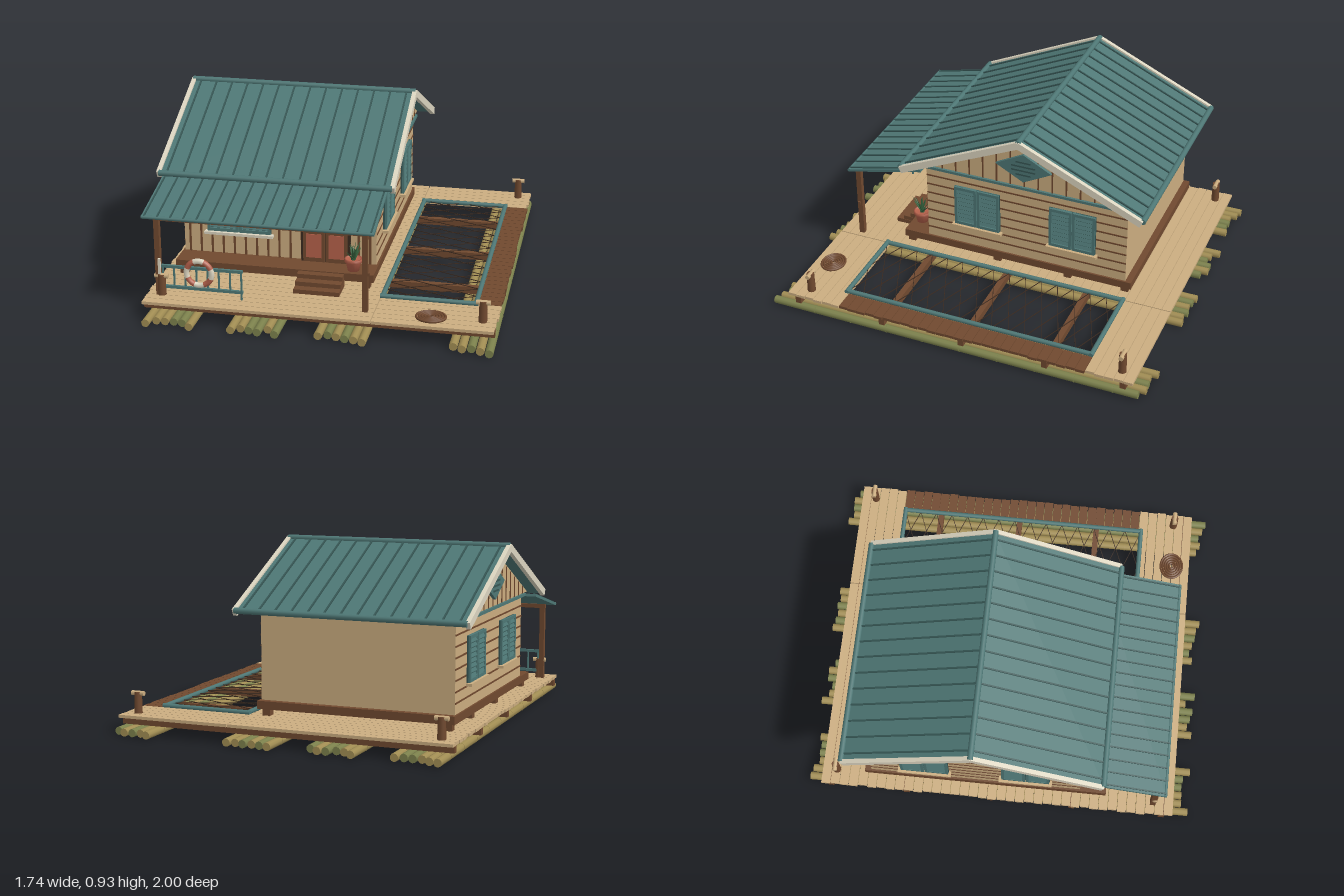
import * as THREE from 'three';

const mat = (name, color) => {
  const m = new THREE.MeshStandardMaterial({ color });
  m.name = name;
  return m;
};

export function createModel() {
  const tan = mat('tan wood', 0xcbad80), teal = mat('teal paint', 0x4e7775), darkTeal = mat('dark teal', 0x365654),
    brown = mat('brown wood', 0x70492f), dark = mat('dark brown', 0x3a291e), cream = mat('cream', 0xdcd5c0),
    terracotta = mat('terracotta', 0xb4604a), bamboo = mat('bamboo', 0xa18d53), greenBamboo = mat('green bamboo', 0x7c814c),
    leaf = mat('leaf green', 0x35603c);
  const model = new THREE.Group();

  const add = (parent, name, geo, m, x = 0, y = 0, z = 0) => {
    const mesh = new THREE.Mesh(geo, m);
    mesh.name = name;
    mesh.position.set(x, y, z);
    parent.add(mesh);
    return mesh;
  };
  const group = (name, parent = model) => {
    const g = new THREE.Group();
    g.name = name;
    parent.add(g);
    return g;
  };
  // box given by its lower and upper limits on each axis
  const span = (p, name, m, x0, x1, y0, y1, z0, z1) =>
    add(p, name, new THREE.BoxGeometry(x1 - x0, y1 - y0, z1 - z0), m, (x0 + x1) / 2, (y0 + y1) / 2, (z0 + z1) / 2);
  // sloping board whose upper face runs from (z0, y0) to (z1, y1), with z1 > z0
  const slope = (p, name, m, x, w, t, z0, y0, z1, y1, lift = 0) => {
    const a = Math.atan2(y0 - y1, z1 - z0), o = lift - t / 2;
    const b = add(p, name, new THREE.BoxGeometry(w, t, Math.hypot(z1 - z0, y1 - y0)), m,
      x, (y0 + y1) / 2 + Math.cos(a) * o, (z0 + z1) / 2 + Math.sin(a) * o);
    b.rotation.x = a;
    return b;
  };
  const rod = (p, name, m, r, x0, x1, y, z) => {
    const c = add(p, name, new THREE.CylinderGeometry(r, r, x1 - x0, 10), m, (x0 + x1) / 2, y, z);
    c.rotation.z = Math.PI / 2;
    return c;
  };
  const rodZ = (p, name, m, r, z0, z1, x, y) => {
    const c = add(p, name, new THREE.CylinderGeometry(r, r, z1 - z0, 10), m, x, y, (z0 + z1) / 2);
    c.rotation.x = Math.PI / 2;
    return c;
  };
  let seed = 7;
  const rand = () => (seed = (seed * 16807) % 2147483647) / 2147483647;

  // bamboo floats with raised joints
  const floats = group('floats');
  [[-0.8, 6], [-0.38, 6], [0.04, 6], [0.68, 5]].forEach(([x, n]) => {
    for (let i = 0; i < n; i++) {
      const z0 = -1 + (i ? rand() * 0.05 : 0), z1 = 1 - (i === n - 1 ? 0 : rand() * 0.05);
      const m = rand() < 0.35 ? greenBamboo : bamboo, lx = x + i * 0.0432;
      rodZ(floats, 'bambooLog', m, 0.0202, z0, z1, lx, 0.021);
      for (let z = -0.88 + rand() * 0.06; z < 0.93; z += 0.2) rodZ(floats, 'bambooJoint', m, 0.0212, z - 0.004, z + 0.004, lx, 0.021);
    }
  });

  // joists and deck planks around the net pool
  const deck = group('deck');
  for (const z of [-0.88, -0.48, -0.04, 0.39, 0.86]) span(deck, 'joist', brown, -0.845, 0.865, 0.045, 0.081, z - 0.015, z + 0.015);
  const pitch = 1.85 / 38;
  for (let i = 0; i < 38; i++) {
    const z0 = -0.93 + i * pitch, z1 = z0 + pitch - 0.003, mid = (z0 + z1) / 2, j = rand() * 0.008;
    span(deck, 'plank', tan, -0.85 + j, 0.279, 0.08, 0.095, z0, z1);
    if (mid < -0.7 || mid > 0.65) span(deck, 'plank', tan, 0.284, 0.87 - j, 0.08, 0.095, z0, z1);
    else span(deck, 'walkwayPlank', brown, 0.757, 0.872 - j, 0.08, 0.095, z0, z1);
  }

  // net pool frame and crossing net cords
  const pool = group('netPool');
  const px0 = 0.29, px1 = 0.746, pz0 = -0.68, pz1 = 0.638;
  for (const z of [pz0, pz1]) rod(pool, 'frameEnd', teal, 0.012, px0 - 0.012, px1 + 0.012, 0.102, z);
  for (const x of [px0, px1]) rodZ(pool, 'frameSide', teal, 0.012, pz0, pz1, x, 0.102);
  const rise = 0.18, wide = px1 - px0;
  for (let z = pz0 - rise; z < pz1; z += 0.088) for (const s of [1, -1]) {
    const t0 = Math.max(0, (pz0 - z) / rise), t1 = Math.min(1, (pz1 - z) / rise);
    if (t1 - t0 < 0.05) continue;
    const t = (t0 + t1) / 2;
    const cord = add(pool, 'netCord', new THREE.BoxGeometry((t1 - t0) * Math.hypot(wide, rise), 0.003, 0.003), dark,
      (px0 + px1) / 2 + s * (t - 0.5) * wide, 0.1, z + t * rise);
    cord.rotation.y = -s * Math.atan2(rise, wide);
  }

  // house body on its raised base
  const cx = -0.275, half = 0.495, zf = 0.425, zb = -0.667, zm = -0.12;
  const house = group('house');
  span(house, 'base', brown, cx - 0.505, cx + 0.505, 0.13, 0.17, -0.7, 0.56);
  for (const x of [-0.74, 0.19]) for (const z of [0.53, 0.04, -0.35, -0.66])
    span(house, 'stub', brown, x - 0.02, x + 0.02, 0.094, 0.131, z - 0.02, z + 0.02);
  span(house, 'walls', tan, cx - half, cx + half, 0.17, 0.61, zb, zf);
  for (let x = cx - half + 0.03; x < cx + half; x += 0.058) span(house, 'frontBatten', brown, x - 0.005, x + 0.005, 0.17, 0.6, zf, zf + 0.006);

  // louvred double shutters with a sill, facing +z
  const shutters = (w, h, sillMat) => {
    const g = group('shutterWindow', house);
    span(g, 'backing', darkTeal, -w / 2, w / 2, -h / 2, h / 2, 0, 0.008);
    span(g, 'sill', sillMat, -w / 2 - 0.012, w / 2 + 0.012, -h / 2 - 0.016, -h / 2 - 0.002, 0, 0.03);
    for (const s of [-1, 1]) {
      const c = s * w / 4, lw = w / 2 - 0.004, e = lw / 2;
      for (const k of [-1, 1]) {
        add(g, 'stile', new THREE.BoxGeometry(0.014, h, 0.018), teal, c + k * (e - 0.007), 0, 0.009);
        add(g, 'rail', new THREE.BoxGeometry(lw, 0.016, 0.018), teal, c, k * (h / 2 - 0.008), 0.009);
      }
      for (let i = 0; i < 8; i++) {
        const y = -h / 2 + 0.016 + (i + 0.5) * (h - 0.032) / 8;
        add(g, 'louvre', new THREE.BoxGeometry(lw - 0.02, 0.018, 0.006), teal, c, y, 0.011).rotation.x = -0.4;
      }
    }
    return g;
  };
  shutters(0.33, 0.23, cream).position.set(-0.48, 0.41, zf + 0.006);

  // double front door
  const door = group('door', house);
  span(door, 'frame', dark, -0.16, 0.09, 0.17, 0.565, zf, zf + 0.02);
  for (const s of [-1, 1]) {
    const x = -0.036 + s * 0.057;
    span(door, 'doorLeaf', brown, x - 0.055, x + 0.055, 0.172, 0.555, zf, zf + 0.028);
    for (const [y0, y1] of [[0.195, 0.32], [0.365, 0.52]])
      span(door, 'doorPanel', terracotta, x - 0.039, x + 0.039, y0, y1, zf + 0.024, zf + 0.032);
    add(door, 'knob', new THREE.SphereGeometry(0.006, 8, 6), dark, -0.036 + s * 0.012, 0.345, zf + 0.032);
  }
  // solid entrance steps
  [[0.165, 0.6], [0.141, 0.64], [0.117, 0.68]].forEach(([top, z]) => span(house, 'step', brown, -0.147, 0.082, top - 0.022, top, 0.545, z));
  span(house, 'stepBody', brown, -0.14, 0.075, 0.094, 0.15, 0.545, 0.59);

  // matching gable sides: siding, windows, gable, vent
  for (const s of [-1, 1]) {
    const side = group(s > 0 ? 'leftSide' : 'rightSide', house), wx = cx + s * half;
    for (let i = 1; i < 8; i++) add(side, 'sidingLine', new THREE.BoxGeometry(0.004, 0.008, zf - zb), brown, wx + s * 0.001, 0.17 + i * 0.0535, (zf + zb) / 2);
    for (const z of [0.14, -0.38]) {
      const w = shutters(0.25, 0.225, tan);
      w.position.set(wx + s * 0.003, 0.408, z);
      w.rotation.y = s * Math.PI / 2;
    }
    const tri = new THREE.Shape([new THREE.Vector2(-0.63, 0.61), new THREE.Vector2(0.63, 0.61), new THREE.Vector2(0, 0.892)]);
    const gable = add(side, 'gable', new THREE.ExtrudeGeometry(tri, { depth: 0.02, bevelEnabled: false }), tan, wx - 0.01, 0, zm);
    gable.rotation.y = Math.PI / 2;
    for (let i = -7; i <= 7; i++) {
      const top = 0.885 - Math.abs(i) * 0.075 * 0.448;
      add(side, 'gableBatten', new THREE.BoxGeometry(0.005, top - 0.61, 0.008), brown, wx + s * 0.011, (top + 0.61) / 2, zm + i * 0.075);
    }
    add(side, 'trimBand', new THREE.BoxGeometry(0.03, 0.014, zf - zb + 0.02), teal, wx + s * 0.008, 0.603, (zf + zb) / 2);
    const kite = new THREE.Shape([new THREE.Vector2(-0.15, 0), new THREE.Vector2(0, -0.08), new THREE.Vector2(0.15, 0), new THREE.Vector2(0, 0.08)]);
    const vent = add(side, 'vent', new THREE.ExtrudeGeometry(kite, { depth: 0.016, bevelEnabled: false }), teal, wx + s * 0.01, 0.725, zm);
    vent.rotation.y = s * Math.PI / 2;
    [0.08, 0.13, 0.13, 0.08].forEach((w, i) =>
      add(side, 'ventSlot', new THREE.BoxGeometry(0.006, 0.009, w), darkTeal, wx + s * 0.026, 0.725 + (i - 1.5) * 0.024, zm));
  }

  // main roof with seams, edge rolls and verge boards
  const roof = group('roof'), rx = -0.2735;
  const slopes = [[zm, 0.913, 0.53, 0.615], [-0.77, 0.615, zm, 0.913]];
  for (const sl of slopes) {
    slope(roof, 'roofSheet', teal, rx, 1.16, 0.016, ...sl);
    for (let i = 0; i < 14; i++) slope(roof, 'roofSeam', darkTeal, rx - 0.546 + i * 0.084, 0.008, 0.008, ...sl, 0.007);
    for (const s of [-1, 1]) slope(roof, 'vergeBoard', cream, rx + s * 0.587, 0.022, 0.036, ...sl, 0.009);
  }
  rod(roof, 'ridgeRoll', teal, 0.015, rx - 0.592, rx + 0.592, 0.913, zm);
  for (const z of [0.53, -0.77]) rod(roof, 'eaveRoll', teal, 0.015, rx - 0.585, rx + 0.585, 0.617, z);

  // porch roof, posts and beam
  const porch = group('porch');
  const ps = [0.43, 0.608, 0.845, 0.51];
  slope(porch, 'porchRoof', teal, -0.2825, 1.135, 0.014, ...ps);
  for (let i = 0; i < 18; i++) slope(porch, 'porchSeam', darkTeal, -0.835 + i * 0.065, 0.007, 0.007, ...ps, 0.006);
  rod(porch, 'porchEave', teal, 0.009, -0.85, 0.285, 0.505, 0.843);
  for (const x of [-0.785, 0.237]) span(porch, 'porchPost', brown, x - 0.013, x + 0.013, 0.094, 0.505, 0.796, 0.824);
  span(porch, 'porchBeam', brown, -0.8, 0.25, 0.482, 0.503, 0.8, 0.82);
  span(porch, 'postCleat', cream, -0.78, -0.768, 0.21, 0.29, 0.824, 0.836);
  span(porch, 'postHook', brown, 0.247, 0.258, 0.28, 0.295, 0.805, 0.82);

  // railing
  const railing = group('railing');
  for (const y of [0.135, 0.242]) span(railing, 'rail', teal, -0.78, -0.365, y - 0.007, y + 0.007, 0.798, 0.812);
  for (let i = 0; i < 8; i++) {
    const x = -0.765 + i * 0.0561;
    span(railing, 'baluster', teal, x - 0.004, x + 0.004, i === 7 ? 0.094 : 0.135, 0.242, 0.801, 0.809);
  }

  // lifebuoy in alternating segments
  const buoy = group('lifebuoy');
  buoy.position.set(-0.578, 0.225, 0.822);
  for (let i = 0; i < 8; i++)
    add(buoy, 'buoySegment', new THREE.TorusGeometry(0.063, 0.014, 8, 6, Math.PI / 4), i % 2 ? cream : terracotta).rotation.z = i * Math.PI / 4 + 0.4;

  // mooring bollards with cross pins
  for (const [x, z] of [[0.8, 0.815], [0.8, -0.855], [-0.77, 0.815], [-0.77, -0.855]]) {
    const b = group('bollard');
    add(b, 'bollardPost', new THREE.CylinderGeometry(0.019, 0.021, 0.107, 10), brown, x, 0.1475, z);
    rod(b, 'crossPin', tan, 0.012, x - 0.034, x + 0.034, 0.194, z);
  }

  // coiled rope on the deck
  const coil = group('ropeCoil');
  for (let i = 0; i < 5; i++) {
    const ring = add(coil, 'ropeRing', new THREE.TorusGeometry(0.015 + i * 0.0138, 0.0068, 6, 24), brown, 0.555, 0.101, 0.82);
    ring.rotation.x = Math.PI / 2;
    ring.scale.y = 0.85;
  }

  // potted plant
  const plant = group('pottedPlant');
  plant.position.set(0.12, 0.17, 0.51);
  const pot = [[0.0001, 0], [0.029, 0], [0.038, 0.045], [0.045, 0.046], [0.046, 0.062], [0.038, 0.062], [0.036, 0.053], [0.0001, 0.053]];
  add(plant, 'pot', new THREE.LatheGeometry(pot.map(([r, y]) => new THREE.Vector2(r, y)), 14), terracotta);
  for (let i = 0; i < 13; i++) {
    const spoke = group('leafSpoke', plant), len = 0.075 + (i % 3) * 0.014;
    spoke.position.y = 0.055;
    spoke.rotation.set(0, i * 2.4, -0.1 - (i % 4) * 0.22);
    const blade = add(spoke, 'leaf', new THREE.ConeGeometry(0.012, len, 5), leaf, 0, len / 2, 0);
    blade.scale.x = 0.35;
  }
  return model;
}
